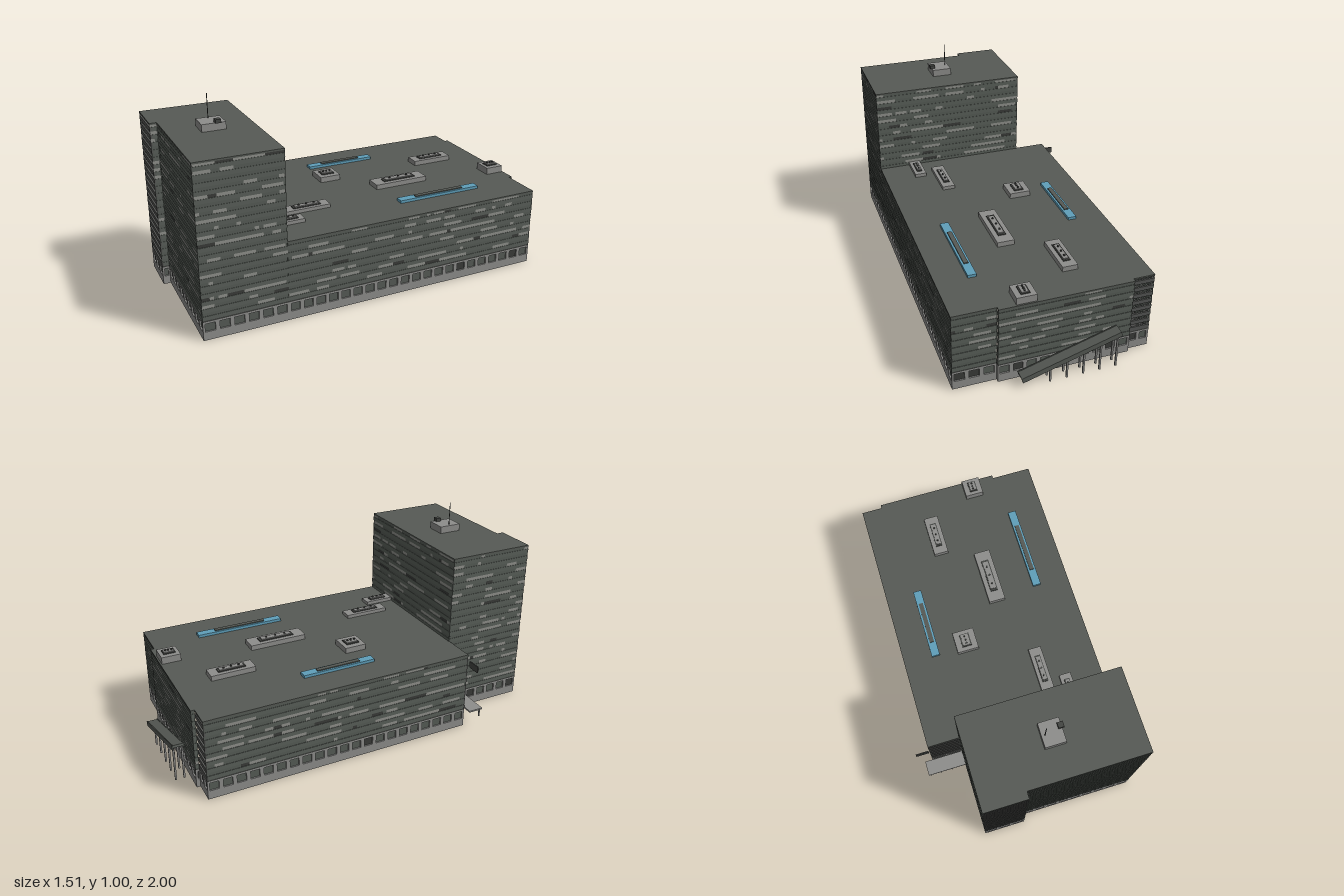
import * as THREE from 'three';
import { mergeGeometries } from 'three/addons/utils/BufferGeometryUtils.js';

const mat = (name, color, side = THREE.FrontSide) => {
  const m = new THREE.MeshStandardMaterial({ color, side });
  m.name = name;
  return m;
};

export function createModel() {
  const M = {
    facade: mat('greenGreyFacade', 0x5a605a),
    glass: mat('windowGlass', 0x565c56, THREE.DoubleSide),
    blind: mat('lightBlind', 0x90918c, THREE.DoubleSide),
    dark: mat('darkGlass', 0x3a3c39, THREE.DoubleSide),
    slat: mat('baySlat', 0x555654),
    stone: mat('baseStone', 0x8e8e8c),
    roof: mat('roofGrey', 0x565a55),
    skylight: mat('skylightBlue', 0x5f9fba),
    metal: mat('darkMetal', 0x444643),
  };
  let seed = 7;
  const rnd = () => ((seed = (seed * 16807) % 2147483647) / 2147483647);

  const model = new THREE.Group();
  model.name = 'officeBuilding';
  const site = new THREE.Group();
  site.name = 'site';
  site.rotation.y = -0.4407;
  model.add(site);

  const add = (parent, name, geo, material, x = 0, y = 0, z = 0) => {
    const m = new THREE.Mesh(geo, material);
    m.name = name;
    m.position.set(x, y, z);
    parent.add(m);
    return m;
  };
  // Box standing on height y
  const box = (parent, name, w, h, d, material, x, y, z) =>
    add(parent, name, new THREE.BoxGeometry(w, h, d), material, x, y + h / 2, z);

  // One facade from p to q (left to right seen from outside): base, slats and window bands.
  // An open facade has slats with nothing between them.
  const BASE = 0.1;
  function wall(name, p, q, floors, pitch, open) {
    const g = new THREE.Group();
    g.name = name;
    g.position.set(p[0], 0, p[1]);
    g.rotation.y = Math.atan2(-(q[1] - p[1]), q[0] - p[0]);
    site.add(g);
    const len = Math.hypot(q[0] - p[0], q[1] - p[1]);
    const parts = {};
    const put = (key, geo) => (parts[key] ??= []).push(geo);
    const slab = (key, x, y, w, h, d = 0.01) =>
      put(key, new THREE.BoxGeometry(w, h, d).translate(x + w / 2, y + h / 2, -d / 2));
    const pane = (key, x, y, w, h, z) =>
      put(key, new THREE.PlaneGeometry(w, h).translate(x + w / 2, y + h / 2, z));

    // Ground storey: plinth, pillars, lintel and recessed glass
    slab('stone', 0, 0, len, 0.043);
    slab('stone', 0, 0.084, len, 0.009);
    slab('dark', 0, 0.093, len, 0.007);
    const bays = Math.max(1, Math.round(len / 0.065));
    const step = len / bays;
    const pw = Math.min(0.02, step * 0.3);
    for (let i = 0; i < bays; i++) {
      slab('stone', i * step, 0.043, pw / 2, 0.041);
      slab('stone', (i + 1) * step - pw / 2, 0.043, pw / 2, 0.041);
      pane(rnd() < 0.15 ? 'dark' : 'glass', i * step, 0.043, step, 0.041, -0.007);
    }

    // Upper storeys
    const band = pitch * 0.45;
    for (let f = 0; f < floors; f++) {
      const y = BASE + f * pitch;
      slab(open ? 'slat' : 'facade', 0, y, len, pitch - band, 0.008);
      if (open) continue;
      for (let x = 0; x < len - 1e-4;) {
        const w = Math.min(len - x, 0.02 * (1 + Math.floor(rnd() * 5)));
        const r = rnd();
        pane(r < 0.36 ? 'blind' : r < 0.41 ? 'dark' : 'glass', x, y + pitch - band, w, band, -0.002);
        x += w;
      }
    }
    const labels = { facade: 'Spandrels', slat: 'Slats', glass: 'Windows', blind: 'Blinds', dark: 'DarkWindows', stone: 'Base' };
    for (const key in parts) add(g, name + labels[key], mergeGeometries(parts[key]), M[key]);
  }

  // Walls of the tower and of the low block
  const T = [[-0.367, 0.935], [-0.155, 0.935], [-0.155, 0.9], [0.426, 0.9], [0.426, 0.49], [-0.367, 0.49]];
  const tNames = ['towerBay', 'towerBayReturn', 'towerFront', 'towerRight', 'towerBack', 'towerLeft'];
  T.forEach((p, i) => wall(tNames[i], p, T[(i + 1) % T.length], 20, 0.0371, i === 0));

  const L = [[0.426, 0.49], [0.426, -0.857], [0.22, -0.857], [0.22, -0.875], [-0.42, -0.875], [-0.42, -0.857],
    [-0.527, -0.857], [-0.527, 0.495], [-0.367, 0.495]];
  const lNames = ['lowRight', 'lowBackEnd', 'lowReturnA', 'lowBack', 'lowReturnB', 'lowOpenBay', 'lowLeft', 'lowFrontBay'];
  lNames.forEach((n, i) => wall(n, L[i], L[i + 1], 8, 0.0375, i === 5 || i === 7));

  // Flat roofs
  const roof = (name, pts, y) => {
    const geo = new THREE.ExtrudeGeometry(new THREE.Shape(pts.map(p => new THREE.Vector2(...p))),
      { depth: 0.008, bevelEnabled: false });
    geo.rotateX(Math.PI / 2);
    add(site, name, geo, M.roof, 0, y, 0);
  };
  roof('towerRoof', T, 0.845);
  roof('lowRoof', L.slice(0, 8), 0.402);

  // Rooftop plant rooms with raised units and vents: x, z, width, length, height
  const plants = [
    [-0.179, -0.6, 0.075, 0.22, 0.025], [0.028, -0.288, 0.085, 0.29, 0.025],
    [-0.194, 0.022, 0.11, 0.11, 0.028], [0.09, -0.82, 0.095, 0.095, 0.035],
    [0.133, 0.277, 0.065, 0.23, 0.018], [0.238, 0.413, 0.06, 0.15, 0.018],
  ];
  for (const [x, z, w, l, h] of plants) {
    const g = new THREE.Group();
    g.name = 'plantRoom';
    g.position.set(x, 0.402, z);
    site.add(g);
    box(g, 'plantBase', w, h, l, M.stone, 0, 0, 0);
    box(g, 'plantFrame', w * 0.46, 0.005, l * 0.62, M.metal, 0, h, 0);
    box(g, 'plantUnit', w * 0.34, 0.009, l * 0.54, M.stone, 0, h, 0);
    for (const k of [-1, 0, 1])
      add(g, 'vent', new THREE.CylinderGeometry(0.005, 0.005, 0.006, 8), M.metal, 0, h + 0.012, k * l * 0.17);
  }

  // Long skylights with a grey ridge
  for (const [x, z, l] of [[-0.361, -0.133, 0.37], [0.255, -0.395, 0.45]]) {
    box(site, 'skylight', 0.042, 0.014, l, M.skylight, x, 0.402, z);
    box(site, 'skylightRidge', 0.022, 0.005, l * 0.6, M.roof, x, 0.416, z);
  }

  // Tower plant room, cooling unit and mast
  box(site, 'towerPlantRoom', 0.1, 0.036, 0.115, M.stone, 0.024, 0.845, 0.693);
  box(site, 'coolingUnit', 0.027, 0.018, 0.027, M.metal, 0.069, 0.88, 0.674);
  add(site, 'mast', new THREE.CylinderGeometry(0.002, 0.002, 0.155, 6), M.metal, -0.009, 0.9225, 0.695);

  // Entrance canopy on short brackets, and a projecting blade above it
  box(site, 'canopy', 0.2, 0.008, 0.075, M.stone, -0.467, 0.094, 0.538);
  for (const x of [-0.555, -0.5, -0.44])
    box(site, 'canopyBracket', 0.006, 0.045, 0.006, M.stone, x, 0.05, 0.568);
  box(site, 'wallBlade', 0.065, 0.033, 0.006, M.metal, -0.562, 0.332, 0.507);

  // Rear ramp rising toward the open corner, with edge beams and legs
  const run = 0.47, rise = 0.14, slope = Math.atan2(rise, run);
  const ramp = new THREE.Group();
  ramp.name = 'rearRamp';
  ramp.position.set(-0.102, 0, -0.922);
  site.add(ramp);
  const sloped = (name, h, d, material, y, z) => {
    box(ramp, name, Math.hypot(run, rise), h, d, material, 0, y, z).rotation.z = -slope;
  };
  sloped('rampDeck', 0.012, 0.052, M.roof, 0.112, 0);
  for (const s of [-1, 1]) {
    sloped('rampBeam', 0.026, 0.005, M.roof, 0.1, s * 0.0255);
    for (const x of [-0.22, -0.14, -0.06, 0.02, 0.1])
      box(ramp, 'rampLeg', 0.008, 0.105 - x * rise / run, 0.008, M.stone, x, 0, s * 0.02);
  }
  return model;
}
